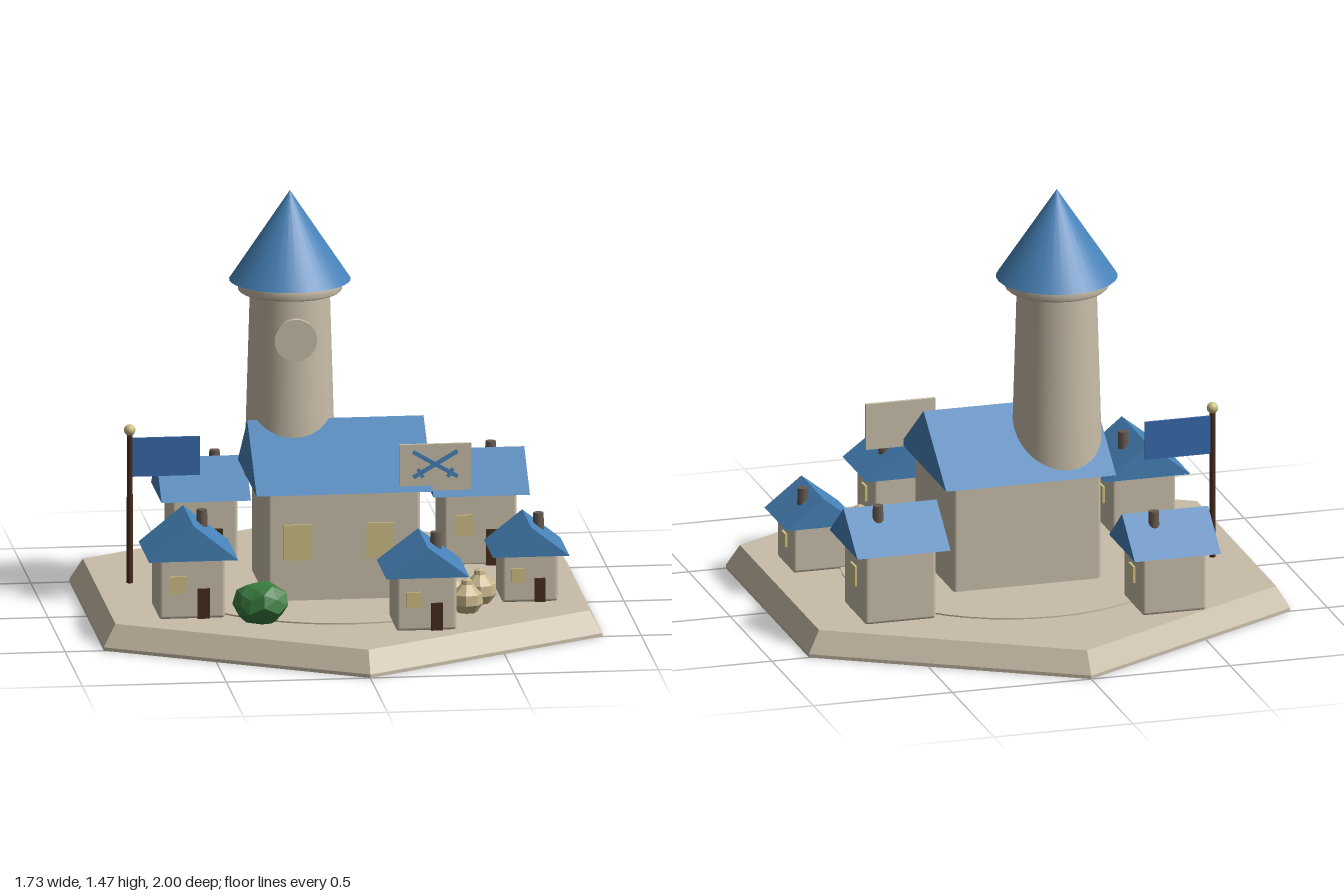
import * as THREE from 'three';
import { RoundedBoxGeometry } from 'three/addons/geometries/RoundedBoxGeometry.js';

const paint = (name, color, extra = {}) => {
  const m = new THREE.MeshStandardMaterial({ color, ...extra });
  m.name = name;
  return m;
};

export function createModel() {
  const stone = paint('stone', 0xc8bda8);
  const roofBlue = paint('roof blue', 0x4682b8);
  const flagBlue = paint('flag blue', 0x3769ad);
  const glass = paint('window yellow', 0xcfc084);
  const wood = paint('dark wood', 0x452b1c);
  const brick = paint('chimney brown', 0x665a50);
  const leaf = paint('leaf green', 0x3a7d40, { flatShading: true });
  const sackTan = paint('sack tan', 0xc9b68c, { flatShading: true });
  const stoneFlat = paint('ground stone', 0xc8bda8, { flatShading: true });

  const model = new THREE.Group();
  model.name = 'village';
  const GROUND = 0.088;

  const add = (name, geometry, material, x, y, z, parent = model) => {
    const mesh = new THREE.Mesh(geometry, material);
    mesh.name = name;
    mesh.position.set(x, y, z);
    parent.add(mesh);
    return mesh;
  };
  const box = (w, h, d) => new THREE.BoxGeometry(w, h, d);

  // Solid gable prism, ridge along z, base at y = 0
  const gable = (span, height, length) => {
    const s = new THREE.Shape();
    s.moveTo(-span / 2, 0);
    s.lineTo(span / 2, 0);
    s.lineTo(0, height);
    s.closePath();
    const g = new THREE.ExtrudeGeometry(s, { depth: length, bevelEnabled: false });
    return g.translate(0, 0, -length / 2);
  };

  // Hexagonal ground with sloping rim, and a round plaza
  add('groundEdge', new THREE.CylinderGeometry(1, 1, 0.012, 6), stoneFlat, 0, 0.006, 0);
  add('ground', new THREE.CylinderGeometry(0.95, 1, GROUND - 0.012, 6), stoneFlat, 0, (GROUND + 0.012) / 2, 0);
  add('plaza', new THREE.CylinderGeometry(0.58, 0.58, 0.01, 48), stone, 0, GROUND, 0);

  // Great hall
  const hall = new THREE.Group();
  hall.name = 'hall';
  model.add(hall);
  add('hallWalls', new RoundedBoxGeometry(0.53, 0.4, 0.47, 2, 0.012), stone, 0, 0.28, 0, hall);
  add('hallRoof', gable(0.546, 0.205, 0.612), roofBlue, -0.002, 0.475, 0, hall).rotation.y = Math.PI / 2;
  for (const x of [-0.162, 0.125]) add('hallWindow', box(0.095, 0.125, 0.009), glass, x, 0.3, 0.238, hall);

  // Round tower
  const tower = new THREE.Group();
  tower.name = 'tower';
  tower.position.set(-0.15, 0, -0.085);
  model.add(tower);
  add('towerShaft', new THREE.CylinderGeometry(0.138, 0.158, 0.67, 32), stone, 0, 0.8, 0, tower);
  const rim = [[0, 0], [0.174, 0], [0.18, 0.006], [0.18, 0.03], [0.174, 0.038], [0, 0.038]];
  add('towerRim', new THREE.LatheGeometry(rim.map(p => new THREE.Vector2(...p)), 32), stone, 0, 1.118, 0, tower);
  add('towerRoof', new THREE.ConeGeometry(0.21, 0.315, 32), roofBlue, 0, 1.3145, 0, tower);
  add('towerDisc', new THREE.CylinderGeometry(0.074, 0.074, 0.018, 32), stone, 0, 0.98, 0.167, tower).rotation.x = Math.PI / 2;

  // Signboard with crossed bars
  const sign = new THREE.Group();
  sign.name = 'sign';
  sign.position.set(0.315, 0.556, 0.245);
  model.add(sign);
  add('signBoard', box(0.25, 0.165, 0.012), stone, 0, 0, 0, sign);
  for (const side of [-1, 1]) {
    add('signBar', box(0.178, 0.014, 0.008), roofBlue, 0, 0.012, 0.009, sign).rotation.z = side * 0.53;
    const guard = add('signBarGuard', box(0.012, 0.034, 0.008), roofBlue, -side * 0.052, -0.019, 0.009, sign);
    guard.rotation.z = side * 0.53;
  }

  // Cottages: x, z, roof size, wall width, eave height, ridge height, ridge runs along x
  const cottage = (x, z, size, w, eave, ridge, alongX) => {
    const house = new THREE.Group();
    house.name = 'cottage';
    house.position.set(x, GROUND, z);
    model.add(house);
    const wall = eave - GROUND;
    const top = ridge - GROUND;
    const winY = wall * 0.57;
    add('walls', new RoundedBoxGeometry(w, wall + 0.012, w, 2, 0.012), stone, 0, wall / 2 + 0.004, 0, house);
    add('roof', gable(size, ridge - eave, size), roofBlue, 0, wall, 0, house).rotation.y = alongX ? Math.PI / 2 : 0;
    add('door', box(w * 0.19, wall * 0.5, 0.009), wood, w * 0.17, wall * 0.25, w / 2 + 0.004, house);
    add('frontWindow', box(w * 0.24, wall * 0.28, 0.009), glass, -w * 0.22, winY, w / 2 + 0.004, house);
    add('sideWindow', box(0.009, wall * 0.28, w * 0.24), glass, w / 2 + 0.004, winY, 0, house);
    add('chimney', new THREE.CylinderGeometry(0.018, 0.02, 0.06, 12), brick, size * 0.165, top - 0.017, -size * 0.115, house);
  };
  cottage(-0.405, -0.535, 0.31, 0.23, 0.3, 0.425, true);
  cottage(0.527, -0.343, 0.335, 0.255, 0.343, 0.475, true);
  cottage(-0.55, 0.315, 0.31, 0.23, 0.3, 0.425, false);
  cottage(0.232, 0.59, 0.288, 0.21, 0.282, 0.39, false);
  cottage(0.635, 0.23, 0.266, 0.195, 0.256, 0.36, false);

  // Flagpole
  add('flagPole', new THREE.CylinderGeometry(0.01, 0.011, 0.53, 12), wood, -0.703, 0.353, -0.11);
  add('flagPoleBall', new THREE.SphereGeometry(0.02, 16, 12), glass, -0.703, 0.63, -0.11);
  add('flag', box(0.235, 0.137, 0.008), flagBlue, -0.577, 0.533, -0.11);

  // Faceted bush, pushed in and out by a repeatable wobble
  const bushShape = new THREE.IcosahedronGeometry(0.088, 1);
  const p = bushShape.attributes.position;
  const v = new THREE.Vector3();
  for (let i = 0; i < p.count; i++) {
    v.fromBufferAttribute(p, i);
    v.multiplyScalar(1 + 0.09 * Math.sin(v.x * 61 + v.y * 37 + v.z * 83));
    p.setXYZ(i, v.x * 1.08, v.y * 0.87, v.z * 0.93);
  }
  add('bush', bushShape, leaf, -0.323, 0.165, 0.542);

  // Tied sacks
  const sackLine = [[0, 0], [0.036, 0], [0.056, 0.03], [0.053, 0.065], [0.02, 0.098], [0.018, 0.112], [0, 0.12]];
  const sackShape = new THREE.LatheGeometry(sackLine.map(q => new THREE.Vector2(...q)), 8);
  [[0.36, 0.355, 0.97], [0.462, 0.312, 1.02], [0.402, 0.44, 1]].forEach(([x, z, s], i) => {
    const sack = add('sack', sackShape, sackTan, x, GROUND, z);
    sack.scale.setScalar(s);
    sack.rotation.y = i * 0.7;
  });

  return model;
}
